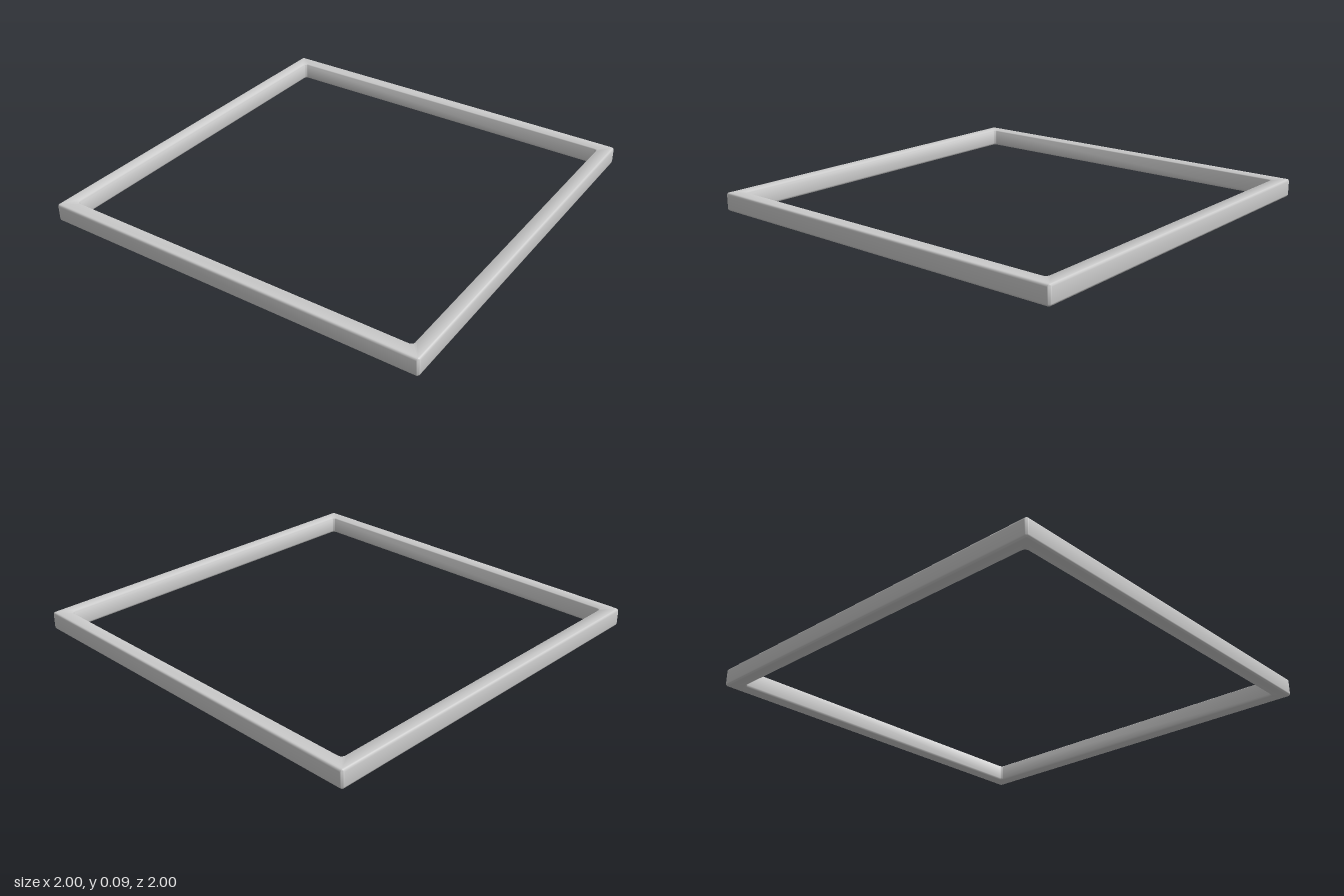
import * as THREE from 'three';
import { toCreasedNormals } from 'three/addons/utils/BufferGeometryUtils.js';

const OUTER = 1, INNER = 0.928, HEIGHT = 0.092, BEVEL = 0.012;

// Traces a rounded square of half-width h and corner radius r
function roundedSquare(path, h, r) {
  path.moveTo(h, -h + r);
  for (let i = 0; i < 4; i++) {
    const a = i * Math.PI / 2;
    const sx = Math.sign(Math.cos(a + Math.PI / 4)), sy = Math.sign(Math.sin(a + Math.PI / 4));
    path.absarc(sx * (h - r), sy * (h - r), r, a, a + Math.PI / 2, false);
  }
  path.closePath();
  return path;
}

export function createModel() {
  const group = new THREE.Group();
  group.name = 'squareFrame';

  // Flat square ring with softened edges
  const shape = roundedSquare(new THREE.Shape(), OUTER, 0.014);
  shape.holes.push(roundedSquare(new THREE.Path(), INNER, 0.015));
  const ring = new THREE.ExtrudeGeometry(shape, {
    depth: HEIGHT - 2 * BEVEL,
    bevelThickness: BEVEL,
    bevelSize: BEVEL,
    bevelOffset: -BEVEL,
    bevelSegments: 3,
    curveSegments: 3,
  });
  ring.rotateX(-Math.PI / 2);
  ring.translate(0, BEVEL, 0);

  const frame = new THREE.Mesh(
    toCreasedNormals(ring, Math.PI / 3),
    new THREE.MeshStandardMaterial({ color: 0xcccccc })
  );
  frame.name = 'frame';
  group.add(frame);
  return group;
}
